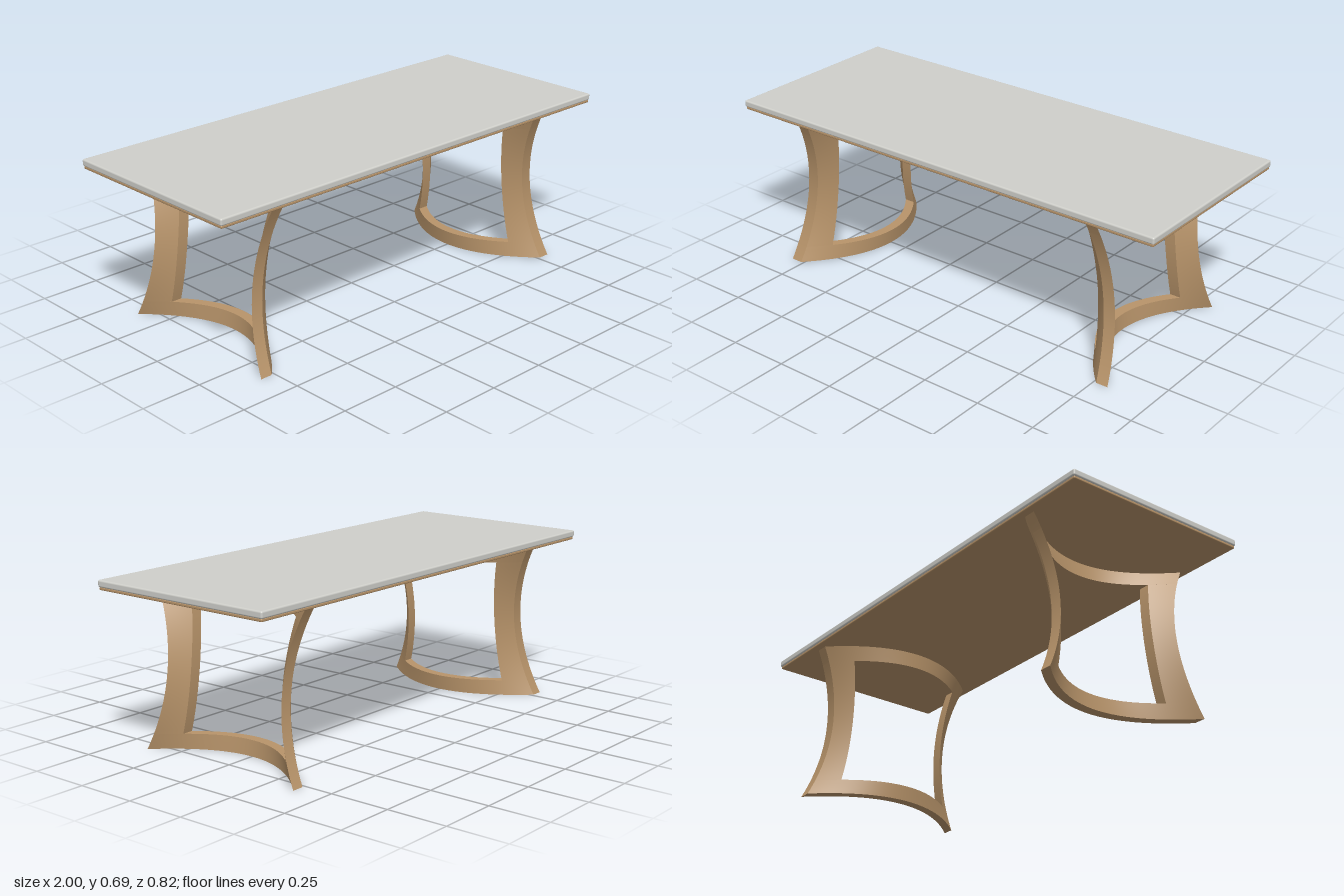
import * as THREE from 'three';
import { RoundedBoxGeometry } from 'three/addons/geometries/RoundedBoxGeometry.js';

const LEG_TOP = 0.658, OPEN_LOW = 0.063, OPEN_HIGH = 0.592, MID = 0.328;

// half width of the waisted leg frame and of its opening at height y
const outerZ = (y) => 0.29 + 0.084 * ((y - MID) / MID) ** 2;
const openingZ = (y) => 0.232 + 0.031 * ((y - MID) / 0.264) ** 2;

// Bends a box into a piece of the leg frame: bowed in plan, leaning inwards.
// zRange(y) gives the piece's extent in z, y0..y1 its height.
function framePiece(name, material, y0, y1, zRange, ySegments, zSegments) {
  const geometry = new THREE.BoxGeometry(1, 1, 1, 1, ySegments, zSegments);
  const p = geometry.attributes.position;
  for (let i = 0; i < p.count; i++) {
    const y = THREE.MathUtils.lerp(y0, y1, p.getY(i) + 0.5);
    const [za, zb] = zRange(y);
    const z = THREE.MathUtils.lerp(za, zb, p.getZ(i) + 0.5);
    const u = z / outerZ(y);
    const inner = 0.582 + 0.18 * u * u - 0.12 * y;
    const thickness = 0.042 + 0.008 * u * u;
    p.setXYZ(i, inner + (p.getX(i) + 0.5) * thickness, y, z);
  }
  geometry.computeVertexNormals();
  const mesh = new THREE.Mesh(geometry, material);
  mesh.name = name;
  return mesh;
}

function createLeg(name, material) {
  const leg = new THREE.Group();
  leg.name = name;
  const full = (y) => [-outerZ(y), outerZ(y)];
  leg.add(
    framePiece('bottomRail', material, 0, OPEN_LOW, full, 4, 40),
    framePiece('topRail', material, OPEN_HIGH, LEG_TOP, full, 4, 40),
    framePiece('frontUpright', material, OPEN_LOW, OPEN_HIGH, (y) => [openingZ(y), outerZ(y)], 32, 6),
    framePiece('backUpright', material, OPEN_LOW, OPEN_HIGH, (y) => [-outerZ(y), -openingZ(y)], 32, 6)
  );
  return leg;
}

export function createModel() {
  const wood = new THREE.MeshStandardMaterial({ color: 0xb8946a });
  const stone = new THREE.MeshStandardMaterial({ color: 0xcfcfca });
  const model = new THREE.Group();
  model.name = 'diningTable';

  // slab with softened edges
  const top = new THREE.Mesh(new RoundedBoxGeometry(2, 0.028, 0.816, 3, 0.007), stone);
  top.name = 'tableTop';
  top.position.y = 0.679;

  // thin wooden board under the slab
  const board = new THREE.Mesh(new RoundedBoxGeometry(1.992, 0.012, 0.808, 3, 0.004), wood);
  board.name = 'underBoard';
  board.position.y = 0.66;

  // two identical frames, turned to face each other
  const leftLeg = createLeg('leftLeg', wood);
  const rightLeg = createLeg('rightLeg', wood);
  rightLeg.rotation.y = Math.PI;

  model.add(top, board, leftLeg, rightLeg);
  return model;
}
